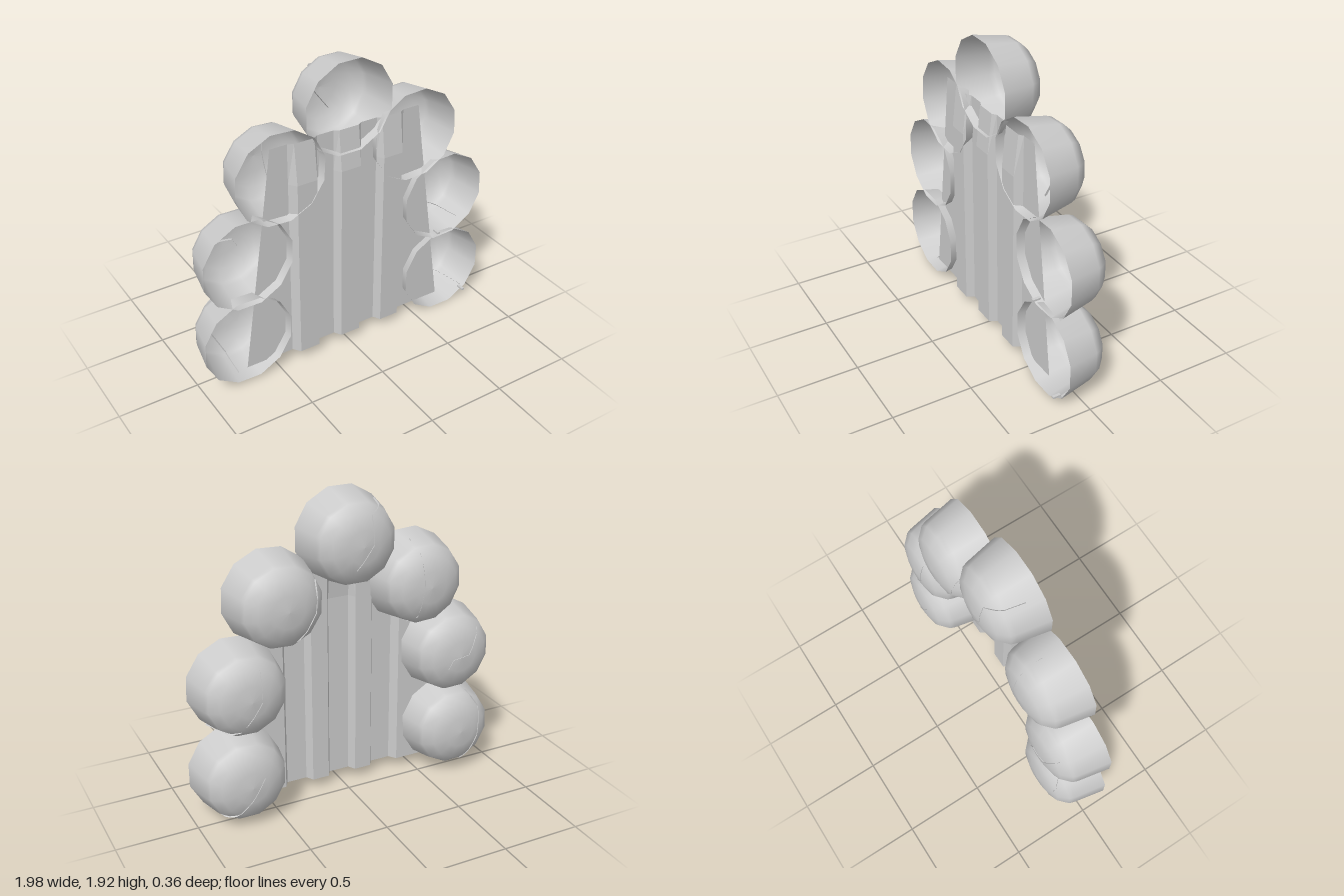
import * as THREE from 'three';

const mat = new THREE.MeshStandardMaterial({ color: 0xcccccc, side: THREE.DoubleSide });
const flatMat = new THREE.MeshStandardMaterial({ color: 0xcccccc, side: THREE.DoubleSide, flatShading: true });

// Half-boulder profile: [radius, z] from the open rim to the back
const PROFILE = [[0.293, 0.14], [0.254, -0.06], [0.243, -0.09], [0.187, -0.145], [0.1, -0.17], [0, -0.178]];

// Surface through rows of equally many points
function loft(rows, material) {
  const n = rows[0].length, index = [];
  for (let j = 0; j < rows.length - 1; j++) {
    for (let i = 0; i < n - 1; i++) {
      const a = j * n + i, b = a + n;
      index.push(a, a + 1, b + 1, a, b + 1, b);
    }
  }
  const geo = new THREE.BufferGeometry();
  geo.setAttribute('position', new THREE.Float32BufferAttribute(rows.flat(2), 3));
  geo.setIndex(index);
  geo.computeVertexNormals();
  return new THREE.Mesh(geo, material);
}

// Depth of the boulder surface at a given radius
function depthAt(r) {
  for (let i = 0; i < PROFILE.length - 1; i++) {
    const [r0, z0] = PROFILE[i], [r1, z1] = PROFILE[i + 1];
    if (r <= r0 && r >= r1) return z0 + (z1 - z0) * (r0 - r) / (r0 - r1);
  }
  return 0.14;
}

// Open, hollow boulder facing +z
function boulderShell(spin) {
  const pts = PROFILE.map(([r, z]) => new THREE.Vector2(r, -z));
  const geo = new THREE.LatheGeometry(pts, 12, Math.PI / 12 + spin);
  geo.rotateX(-Math.PI / 2);
  const mesh = new THREE.Mesh(geo, mat);
  mesh.name = 'boulderShell';
  return mesh;
}

// Thin ledge following a crack over the boulder
function crackLedge(cx, cy, path) {
  const fine = [];
  path.forEach(([x, y], i) => {
    if (i === 0) return;
    const [px, py] = path[i - 1];
    for (let k = i === 1 ? 0 : 1; k <= 4; k++) {
      fine.push([px + (x - px) * k / 4 - cx, py + (y - py) * k / 4 - cy]);
    }
  });
  const rows = [0.95, 1.012].map(s => fine.map(([x, y]) => {
    const z = depthAt(Math.hypot(x, y));
    return [x * s, y * s, 0.14 + (z - 0.14) * s];
  }));
  const mesh = loft(rows, flatMat);
  mesh.name = 'crackLedge';
  return mesh;
}

// Corrugated plank door: tapered outline, raised planks fading towards the top
function plankDoor() {
  const back = 0.09;
  // [x, raised] break points between the slanted outer edges
  const steps = [[-0.39, 0], [-0.355, 1], [-0.225, 1], [-0.198, 0],
    [-0.09, 0], [-0.062, 1], [0.07, 1], [0.097, 0],
    [0.205, 0], [0.232, 1], [0.362, 1], [0.39, 0]];
  const row = (y, half, rise) => [[-half, y, back],
    ...steps.map(([x, up]) => [x, y, back + up * rise]), [half, y, back]];
  const rows = [row(0.07, 0.705, 0.046), row(1.25, 0.535, 0.046), row(1.505, 0.5, 0.018)];
  const mesh = loft(rows, flatMat);
  mesh.name = 'plankDoor';
  return mesh;
}

export function createModel() {
  const model = new THREE.Group();
  model.name = 'boulderArchway';
  model.add(plankDoor());

  // Boulders around the door: centre, spin and crack path
  const boulders = [
    ['topBoulder', -0.01, 1.645, 0, [[-0.18, 1.86], [-0.07, 1.82], [-0.07, 1.65], [0.03, 1.51]]],
    ['upperRightBoulder', -0.46, 1.33, 0.06, [[-0.4, 1.59], [-0.41, 1.35], [-0.38, 1.08]]],
    ['upperLeftBoulder', 0.453, 1.34, -0.05, [[0.26, 1.48], [0.28, 1.3], [0.4, 1.09]]],
    ['middleRightBoulder', -0.685, 0.84, 0.02, [[-0.82, 1.0], [-0.74, 0.845], [-0.63, 0.83], [-0.6, 0.77]]],
    ['middleLeftBoulder', 0.69, 0.84, -0.04, [[0.63, 1.02], [0.63, 0.83], [0.75, 0.645], [0.87, 0.6]]],
    ['lowerRightBoulder', -0.708, 0.31, 0.03, [[-0.78, 0.58], [-0.85, 0.45], [-0.84, 0.25], [-0.76, 0.08], [-0.76, 0.035]]],
    ['lowerLeftBoulder', 0.708, 0.288, 0, [[0.63, 0.34], [0.7, 0.22], [0.8, 0.095], [0.9, 0.07]]],
  ];
  for (const [name, x, y, spin, crack] of boulders) {
    const group = new THREE.Group();
    group.name = name;
    group.position.set(x, y, 0);
    group.add(boulderShell(spin), crackLedge(x, y, crack));
    model.add(group);
  }

  // Small ledge tips poking out past the rims
  for (const [x, y] of [[0.64, 0.605], [0.875, 0.075]]) {
    const tip = new THREE.Mesh(new THREE.BoxGeometry(0.018, 0.012, 0.05), flatMat);
    tip.name = 'ledgeTip';
    tip.position.set(x, y, 0.15);
    model.add(tip);
  }
  return model;
}
